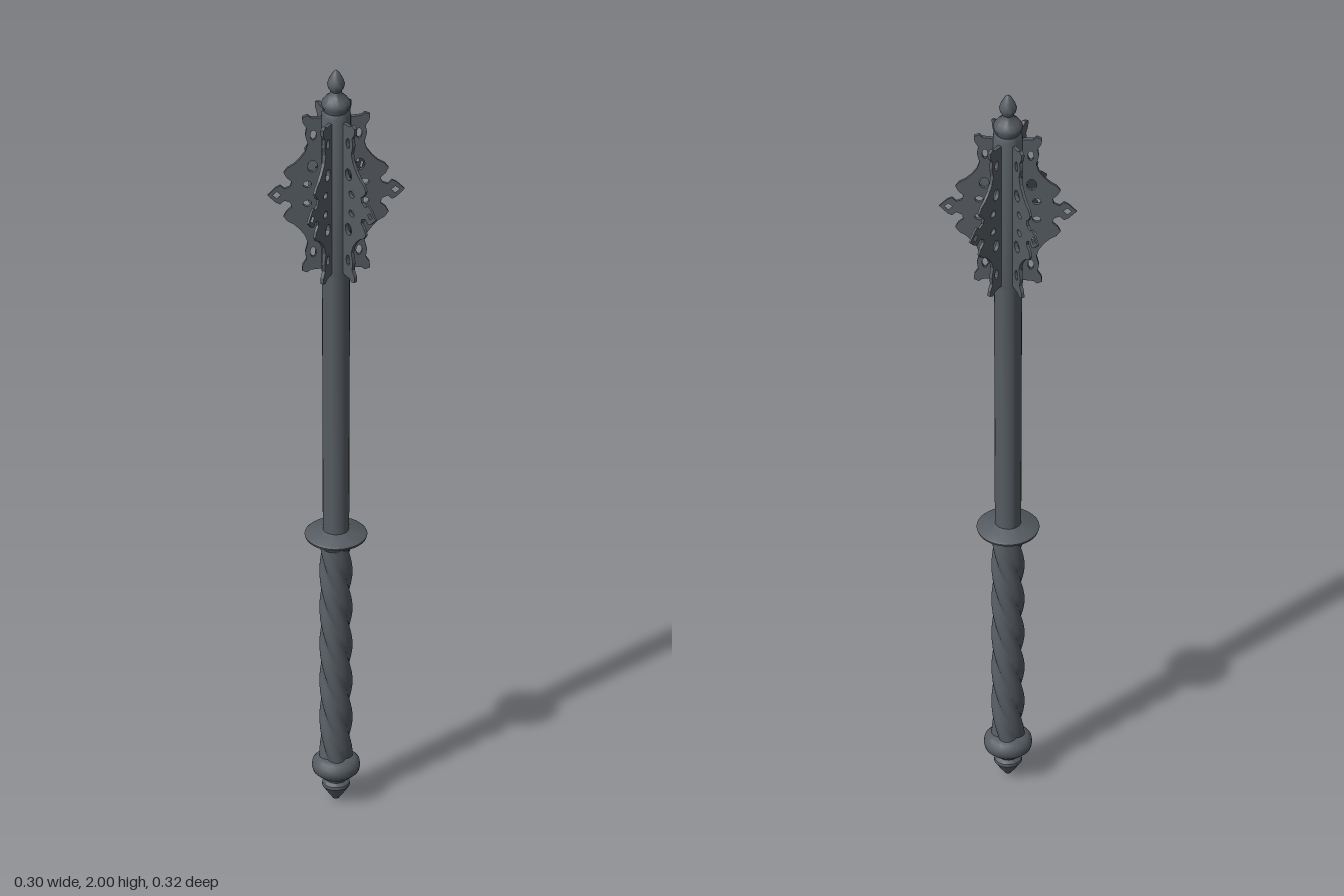
import * as THREE from 'three';
import { mergeVertices, toCreasedNormals } from 'three/addons/utils/BufferGeometryUtils.js';

const steel = new THREE.MeshStandardMaterial({ color: 0x555b61 });
steel.name = 'darkSteel';

const add = (parent, name, geometry) => {
  const mesh = new THREE.Mesh(geometry, steel);
  mesh.name = name;
  parent.add(mesh);
  return mesh;
};

// Turned part from [radius, height] pairs, listed bottom to top
const turned = (pairs, sides = 32) => toCreasedNormals(
  new THREE.LatheGeometry(pairs.map(([r, y]) => new THREE.Vector2(r, y)), sides), 0.7);

// Grip with rounded strands winding round it
function twistedGrip(y0, y1) {
  const strands = 4, pitch = 0.4;
  let g = new THREE.CylinderGeometry(1, 1, y1 - y0, 48, 96, true);
  g.deleteAttribute('uv');
  g.deleteAttribute('normal');
  const p = g.attributes.position;
  for (let i = 0; i < p.count; i++) {
    const y = p.getY(i);
    const a = Math.atan2(p.getX(i), p.getZ(i));
    const r = 0.028 + 0.011 * Math.abs(Math.sin((a + (y / pitch) * Math.PI * 2) * strands / 2));
    p.setXYZ(i, Math.sin(a) * r, y + (y0 + y1) / 2, Math.cos(a) * r);
  }
  g = mergeVertices(g, 1e-5);
  g.computeVertexNormals();
  return g;
}

// Pierced blade, mirrored about its middle height and thinner towards the point
function flangeGeometry() {
  const mid = 1.665;
  // [distance from axis, height above the middle], top down to the point
  const half = [
    [0.06, 0.208], [0.068, 0.215], [0.08, 0.21], [0.079, 0.195], [0.07, 0.18],
    [0.073, 0.16], [0.067, 0.135], [0.073, 0.115], [0.086, 0.096], [0.1, 0.082],
    [0.115, 0.073], [0.124, 0.06], [0.117, 0.046], [0.105, 0.035], [0.108, 0.022],
    [0.122, 0.016], [0.132, 0.026], [0.143, 0.02], [0.162, 0],
  ];
  const lower = half.slice(0, -1).reverse().map(([r, y]) => [r, -y]);
  const outline = [[0.025, 0.205], ...half, ...lower, [0.025, -0.205]];
  const shape = new THREE.Shape(outline.map(([r, y]) => new THREE.Vector2(r, y + mid)));
  const hole = (r, y, w, h) => {
    const path = new THREE.Path();
    path.absellipse(r, y + mid, w, h, 0, Math.PI * 2);
    shape.holes.push(path);
  };
  for (const s of [1, -1]) {
    hole(0.054, s * 0.16, 0.007, 0.014);
    hole(0.056, s * 0.075, 0.012, 0.016);
    hole(0.068, s * 0.026, 0.01, 0.009);
  }
  const eye = new THREE.Path();
  [[0.131, 0], [0.14, 0.009], [0.15, 0], [0.14, -0.009]].forEach(([r, y], i) =>
    i ? eye.lineTo(r, y + mid) : eye.moveTo(r, y + mid));
  eye.closePath();
  shape.holes.push(eye);

  const g = new THREE.ExtrudeGeometry(shape, { depth: 1, bevelEnabled: false, curveSegments: 6 });
  const p = g.attributes.position;
  for (let i = 0; i < p.count; i++) {
    const thickness = THREE.MathUtils.mapLinear(p.getX(i), 0.025, 0.162, 0.01, 0.004);
    p.setZ(i, (p.getZ(i) - 0.5) * thickness);
  }
  g.computeVertexNormals();
  return g;
}

export function createModel() {
  const mace = new THREE.Group();
  mace.name = 'flangedMace';

  // Pommel with pointed button and wide ring
  add(mace, 'pommel', turned([
    [0, 0], [0.008, 0.005], [0.02, 0.022], [0.033, 0.042], [0.032, 0.049], [0.024, 0.056],
    [0.026, 0.062], [0.04, 0.07], [0.054, 0.083], [0.057, 0.095], [0.055, 0.107],
    [0.047, 0.115], [0.038, 0.12], [0, 0.12],
  ]));

  add(mace, 'grip', twistedGrip(0.11, 0.71));

  // Hand guard disc above the grip
  add(mace, 'guard', turned([
    [0, 0.695], [0.037, 0.695], [0.041, 0.705], [0.055, 0.713], [0.072, 0.722],
    [0.074, 0.728], [0.07, 0.732], [0.045, 0.735], [0.036, 0.742], [0, 0.742],
  ]));

  add(mace, 'shaft', turned([[0, 0.73], [0.031, 0.73], [0.033, 1.46], [0, 1.46]], 24));

  // Head sleeve carrying the flanges
  add(mace, 'headSleeve', turned([
    [0, 1.45], [0.034, 1.45], [0.035, 1.46], [0.035, 1.88], [0.03, 1.89], [0, 1.89],
  ], 24));

  const flanges = new THREE.Group();
  flanges.name = 'flanges';
  mace.add(flanges);
  const blade = flangeGeometry();
  for (let i = 0; i < 6; i++) {
    add(flanges, 'flange', blade).rotation.y = -THREE.MathUtils.degToRad(22.5 + i * 60);
  }

  // Finial with bulb and pointed tip
  add(mace, 'finial', turned([
    [0, 1.885], [0.028, 1.885], [0.028, 1.893], [0.034, 1.902], [0.034, 1.912],
    [0.027, 1.922], [0.016, 1.932], [0.013, 1.942], [0.019, 1.952], [0.021, 1.962],
    [0.017, 1.975], [0.008, 1.992], [0, 2],
  ]));

  return mace;
}
